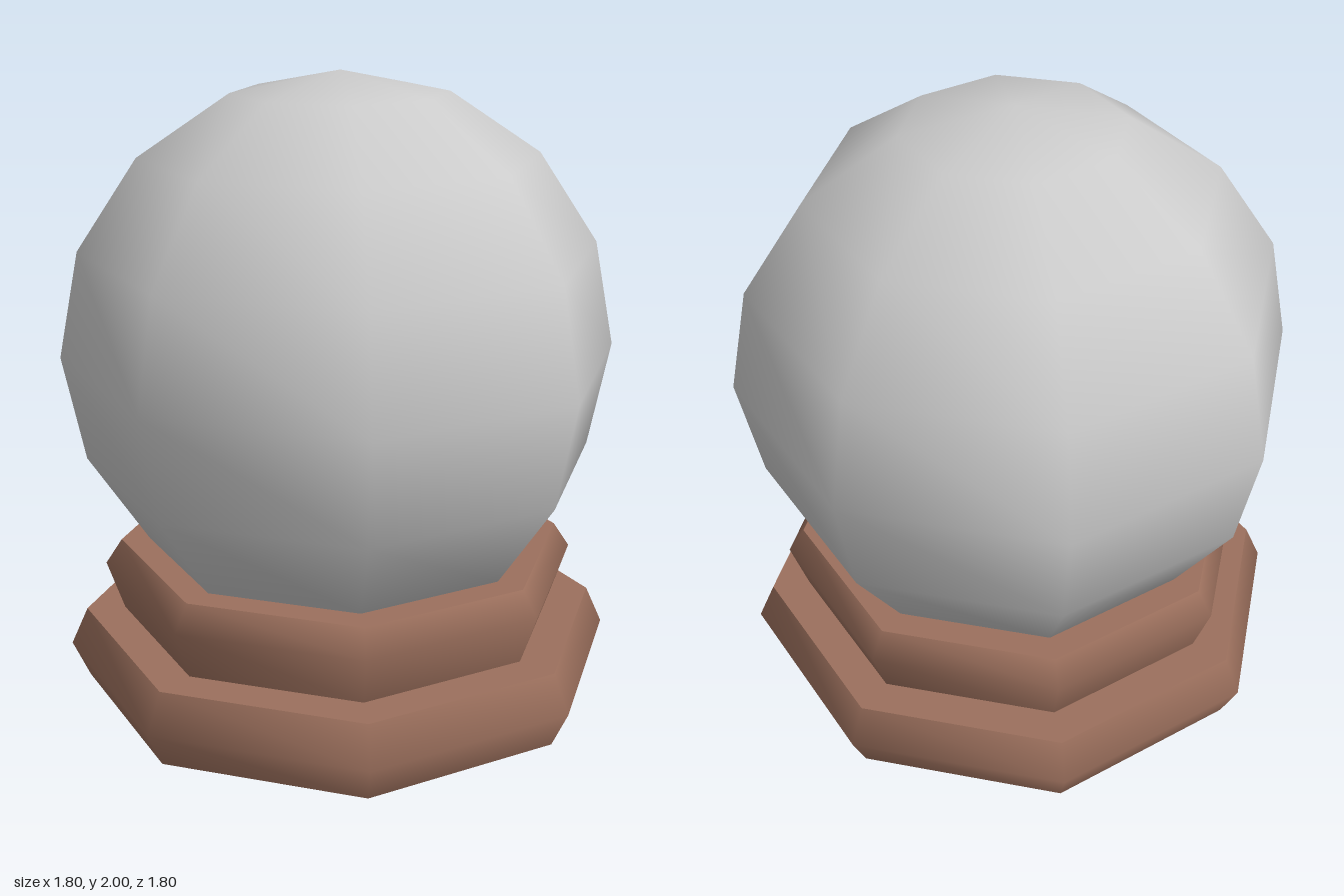
import * as THREE from 'three';
import { mergeGeometries } from 'three/addons/utils/BufferGeometryUtils.js';

const SIDES = 8;

// Octagonal moulding: smooth turned side with flat, hard-edged caps
function makeTier(name, profile, material) {
  const points = profile.map(([r, y]) => new THREE.Vector2(r, y));
  const [bottom, top] = [points[0], points[points.length - 1]];
  const side = new THREE.LatheGeometry(points, SIDES);
  const topCap = new THREE.CircleGeometry(top.x, SIDES).rotateX(-Math.PI / 2).translate(0, top.y, 0);
  const bottomCap = new THREE.CircleGeometry(bottom.x, SIDES).rotateX(Math.PI / 2).translate(0, bottom.y, 0);
  const mesh = new THREE.Mesh(mergeGeometries([side, topCap, bottomCap]), material);
  mesh.name = name;
  return mesh;
}

export function createModel() {
  const group = new THREE.Group();
  group.name = 'globeOnStand';
  const grey = new THREE.MeshStandardMaterial({ color: 0xcccccc });
  const brown = new THREE.MeshStandardMaterial({ color: 0x9c705d });

  // Low-poly ball, smooth shaded, sunk into the stand
  const globe = new THREE.Mesh(new THREE.SphereGeometry(0.888, SIDES, 8), grey);
  globe.position.y = 1.112;
  globe.name = 'globe';

  // Two-tier stand
  group.add(
    globe,
    makeTier('lowerTier', [[0.845, 0], [0.9, 0.12], [0.845, 0.243]], brown),
    makeTier('upperTier', [[0.72, 0.243], [0.775, 0.405], [0.722, 0.486]], brown),
  );
  return group;
}
